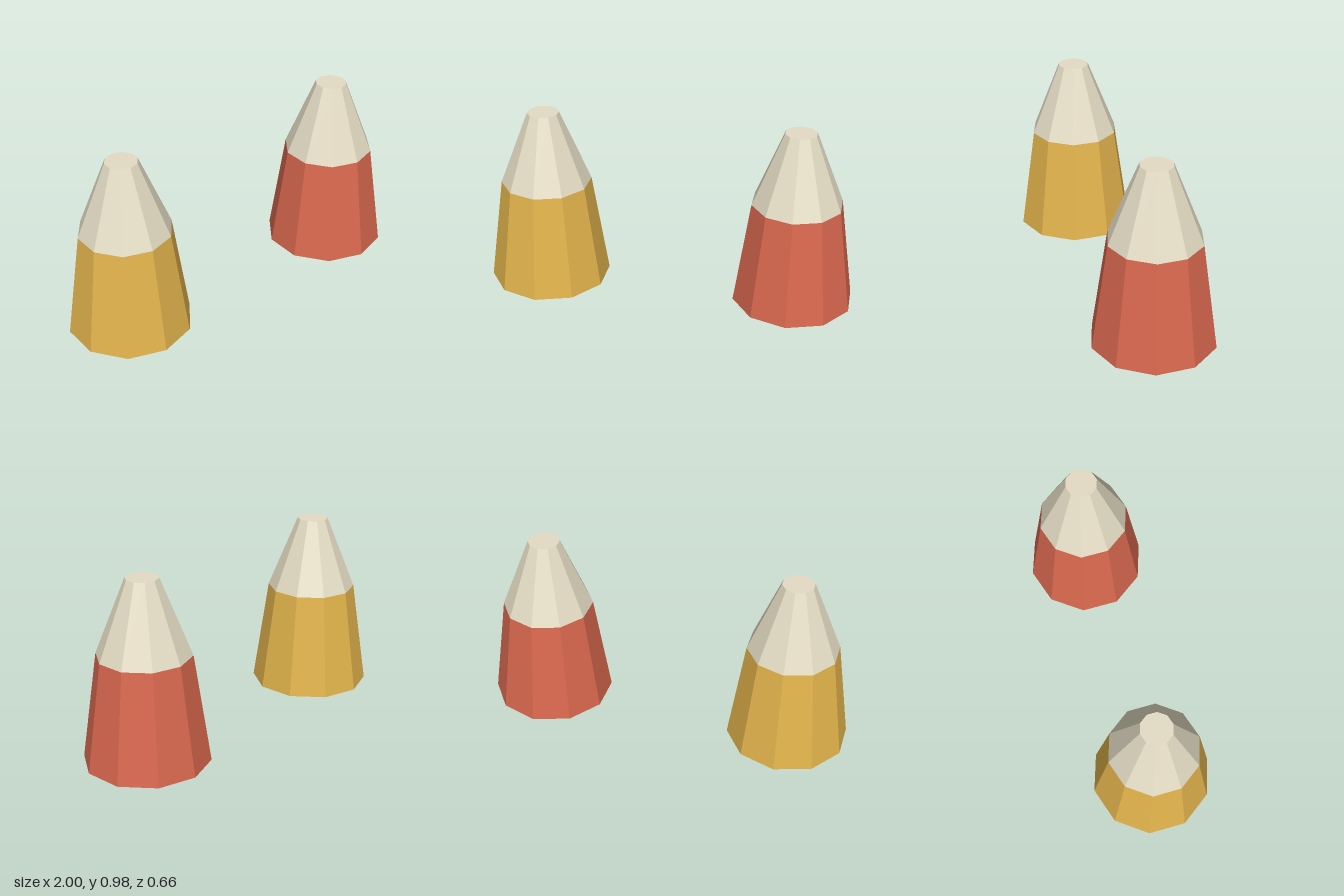
import * as THREE from 'three';

const SIDES = 10;

export function createModel() {
  const model = new THREE.Group();
  model.name = 'taperedCones';

  const flat = (name, color) => new THREE.MeshStandardMaterial({ name, color, flatShading: true });
  const cream = flat('cream', 0xe4dcc4);
  const yellow = flat('yellow', 0xe3b44c);
  const red = flat('red', 0xd9684f);

  // One tapered ten-sided section, closed at the end that shows
  function section(name, material, rTop, rBottom, y0, y1) {
    const geometry = new THREE.CylinderGeometry(rTop, rBottom, y1 - y0, SIDES);
    geometry.translate(0, (y0 + y1) / 2, 0);
    const mesh = new THREE.Mesh(geometry, material);
    mesh.name = name;
    return mesh;
  }

  // Coloured base with a cream truncated tip
  function cone(name, material, x) {
    const group = new THREE.Group();
    group.name = name;
    group.position.x = x;
    group.add(section('base', material, 0.245, 0.33, 0, 0.575));
    group.add(section('tip', cream, 0.085, 0.245, 0.575, 0.975));
    model.add(group);
  }

  cone('rightCone', yellow, -0.686);
  cone('leftCone', red, 0.686);
  return model;
}
